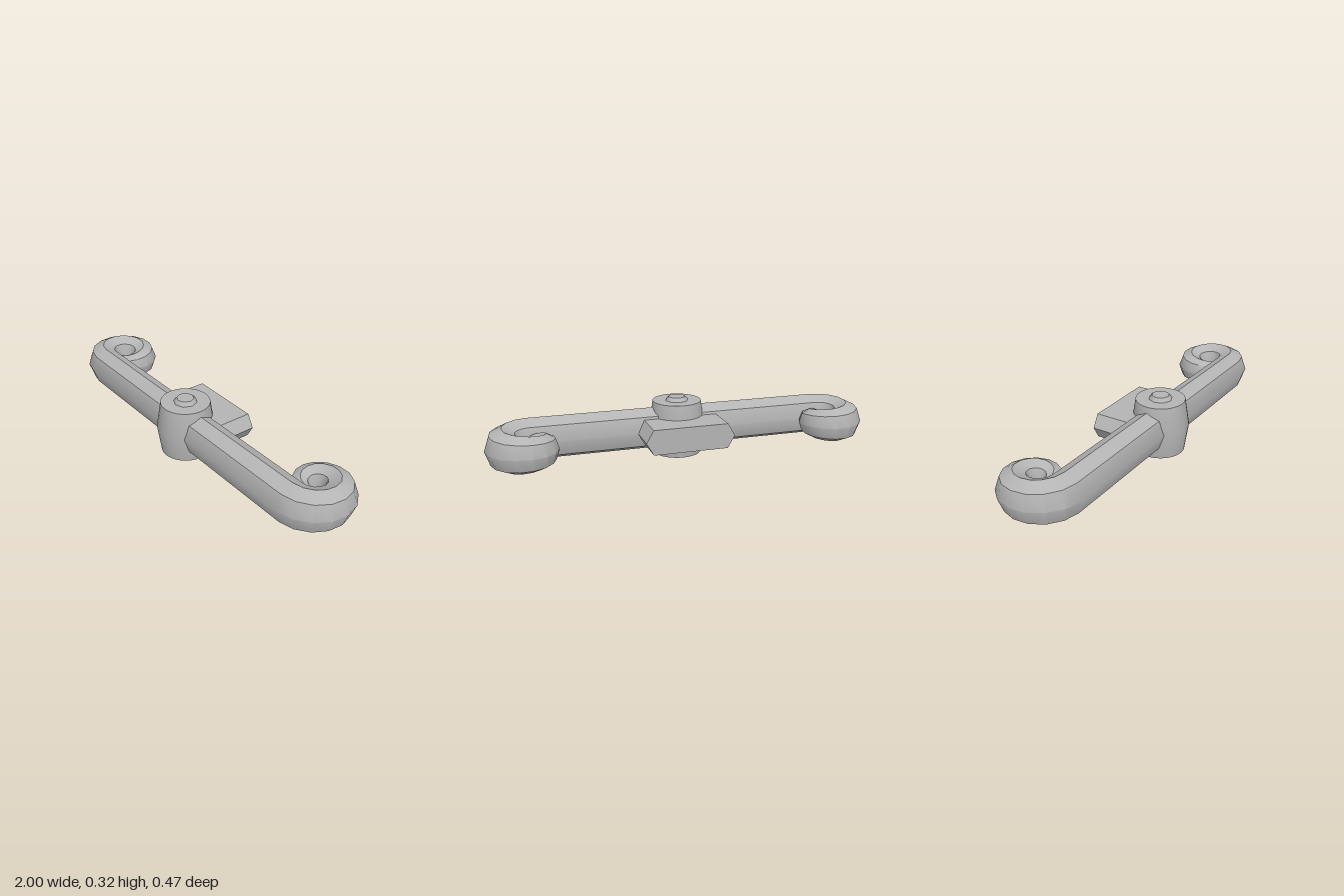
import * as THREE from 'three';
import { toCreasedNormals } from 'three/addons/utils/BufferGeometryUtils.js';

const MID_Y = 0.162, BAR_Z = 0.088;
const CREASE = THREE.MathUtils.degToRad(40.5);

// Octagonal bar whose two ends curl backwards into tapering spirals
function scrollBar() {
  const sides = 8, half = [];
  for (let k = 0; k <= 17; k++) {
    const a = k * Math.PI / 8, t = a / (2 * Math.PI);
    const rho = 0.14 - 0.03 * t - 0.07 * t * t;
    half.push({
      x: 0.786 + rho * Math.sin(a), z: -0.052 + rho * Math.cos(a),
      ux: Math.sin(a), uz: Math.cos(a), s: 1 - 0.12 * t - 0.5 * t * t,
    });
  }
  const mirrored = half.map(p => ({ ...p, x: -p.x, ux: -p.ux })).reverse();
  const path = [...mirrored, ...half];
  const pos = [], index = [];
  for (const p of path) {
    for (let j = 0; j < sides; j++) {
      const a = j * 2 * Math.PI / sides;
      const w = 0.092 * p.s * Math.cos(a);
      pos.push(p.x + p.ux * w, MID_Y + 0.11 * p.s * Math.sin(a), p.z + p.uz * w);
    }
  }
  for (let i = 0; i < path.length - 1; i++) {
    for (let j = 0; j < sides; j++) {
      const n = (j + 1) % sides, a = i * sides, b = a + sides;
      index.push(a + j, b + j, a + n, b + j, b + n, a + n);
    }
  }
  // End caps
  const last = (path.length - 1) * sides;
  for (let j = 1; j < sides - 1; j++) {
    index.push(0, j, j + 1, last, last + j + 1, last + j);
  }
  const g = new THREE.BufferGeometry();
  g.setAttribute('position', new THREE.Float32BufferAttribute(pos, 3));
  g.setIndex(index);
  return toCreasedNormals(g, CREASE);
}

// Solid of revolution with sharp rims
function turned(points, sides) {
  const g = new THREE.LatheGeometry(points.map(p => new THREE.Vector2(...p)), sides);
  return toCreasedNormals(g, CREASE);
}

export function createModel() {
  const group = new THREE.Group();
  const metal = new THREE.MeshStandardMaterial({ color: 0xb4b4b4 });
  metal.name = 'grey metal';
  const add = (name, geometry, x = 0, y = 0, z = 0) => {
    const mesh = new THREE.Mesh(geometry, metal);
    mesh.name = name;
    mesh.position.set(x, y, z);
    group.add(mesh);
    return mesh;
  };

  add('scrollBar', scrollBar());

  // Barrel-shaped hub around the middle of the bar
  add('hub', turned([[0, 0.022], [0.127, 0.022], [0.148, MID_Y], [0.127, 0.302], [0, 0.302]], 32), 0, 0, BAR_Z);

  // Octagonal pin heads above and below the hub
  add('topPin', turned([[0, 0.29], [0.061, 0.302], [0.045, 0.322], [0, 0.322]], 8), 0, 0, BAR_Z);
  add('bottomPin', turned([[0, 0], [0.045, 0], [0.061, 0.022], [0, 0.034]], 8), 0, 0, BAR_Z);

  // Hexagonal block behind the bar
  const profile = new THREE.Shape([
    [-0.233, 0], [-0.195, -0.065], [0.195, -0.065],
    [0.233, 0], [0.195, 0.065], [-0.195, 0.065],
  ].map(p => new THREE.Vector2(...p)));
  add('backBlock', new THREE.ExtrudeGeometry(profile, { depth: 0.215, bevelEnabled: false }), 0, MID_Y, -0.167);

  return group;
}
